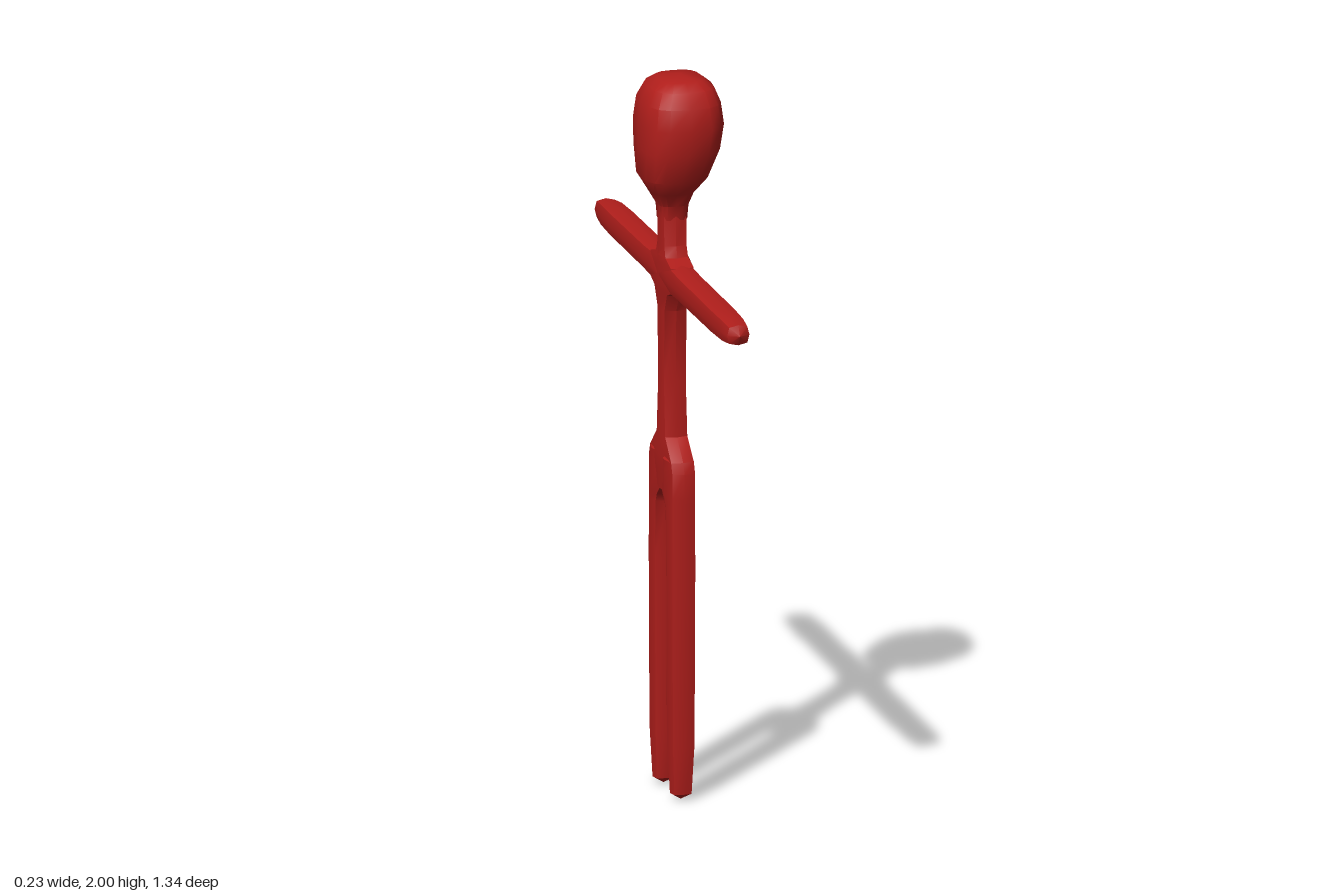
import * as THREE from 'three';
import { toCreasedNormals } from 'three/addons/utils/BufferGeometryUtils.js';

const BODY_X = -0.02; // the body sits slightly behind the head's centre

// Rounded-square ring point: sides of the ring bulge, corners sit at 45 degrees
const soften = (v) => (Math.abs(v) < 1e-6 ? 0 : Math.sign(v) * Math.pow(Math.abs(v), 0.68));

// Loft up the y axis. Sections: [y, centreX, centreZ, halfX, halfZ]; zero halves close an end.
function loft(sections, sides) {
  const pos = [], index = [];
  for (const [y, cx, cz, hx, hz] of sections) {
    const m = Math.min(hx, hz);
    for (let j = 0; j < sides; j++) {
      const t = (j / sides) * Math.PI * 2;
      const u = soften(Math.cos(t)), v = soften(Math.sin(t));
      // keep the corner rounding even when a section is much wider than deep
      const px = u === 0 ? 0 : u * m + Math.sign(u) * (hx - m) * (sides > 8 ? Math.abs(u) : 1);
      const pz = v === 0 ? 0 : v * m + Math.sign(v) * (hz - m) * (sides > 8 ? Math.abs(v) : 1);
      pos.push(cx + px, y, cz + pz);
    }
  }
  for (let i = 0; i < sections.length - 1; i++) {
    for (let j = 0; j < sides; j++) {
      const k = (j + 1) % sides;
      const a = i * sides + j, b = i * sides + k, c = a + sides, d = b + sides;
      if (sections[i][3] > 0) index.push(a, c, b);
      if (sections[i + 1][3] > 0) index.push(b, c, d);
    }
  }
  const geo = new THREE.BufferGeometry();
  geo.setAttribute('position', new THREE.Float32BufferAttribute(pos, 3));
  geo.setIndex(index);
  return toCreasedNormals(geo, 0.6);
}

export function createModel() {
  const group = new THREE.Group();
  const material = new THREE.MeshStandardMaterial({ color: 0xb01e1b });
  const add = (name, geo) => {
    const mesh = new THREE.Mesh(geo, material);
    mesh.name = name;
    group.add(mesh);
  };

  // Head: egg shape, fuller at the back, narrowing into the neck
  add('head', loft([
    [1.58, BODY_X, 0, 0, 0],
    [1.60, BODY_X, 0, 0.039, 0.037],
    [1.64, BODY_X, 0, 0.042, 0.042],
    [1.68, -0.025, 0, 0.06, 0.072],
    [1.72, -0.02, 0, 0.09, 0.1],
    [1.80, -0.007, 0, 0.108, 0.125],
    [1.87, -0.002, 0, 0.113, 0.134],
    [1.93, -0.002, 0, 0.105, 0.126],
    [1.97, 0, 0, 0.087, 0.102],
    [1.99, 0, 0, 0.06, 0.068],
    [2.0, 0, 0, 0, 0],
  ], 16));

  // Torso: hips, slim waist, shoulder flare and neck, as [y, halfX, halfZ]
  add('torso', loft([
    [0.845, 0, 0],
    [0.85, 0.036, 0.09],
    [0.91, 0.039, 0.122],
    [0.945, 0.04, 0.112],
    [1.0, 0.039, 0.05],
    [1.15, 0.038, 0.036],
    [1.35, 0.039, 0.043],
    [1.40, 0.04, 0.07],
    [1.415, 0.04, 0.11],
    [1.485, 0.04, 0.11],
    [1.5, 0.04, 0.055],
    [1.53, 0.039, 0.042],
    [1.63, 0.039, 0.038],
    [1.64, 0, 0],
  ].map(([y, hx, hz]) => [y, BODY_X, 0, hx, hz]), 8));

  for (const side of [1, -1]) {
    const label = side > 0 ? 'Front' : 'Back';

    // Leg: [y, inner z, outer z, halfX]
    add('leg' + label, loft([
      [0.004, 0.085, 0.085, 0],
      [0.022, 0.058, 0.114, 0.03],
      [0.16, 0.048, 0.124, 0.038],
      [0.64, 0.048, 0.125, 0.04],
      [0.80, 0.041, 0.125, 0.04],
      [0.822, 0.03, 0.125, 0.04],
      [0.845, 0.004, 0.125, 0.04],
      [0.915, 0.004, 0.124, 0.04],
      [0.945, 0.004, 0.112, 0.04],
      [0.99, 0.02, 0.02, 0],
    ].map(([y, z0, z1, hx]) => [y, BODY_X, side * (z0 + z1) / 2, hx, (z1 - z0) / 2]), 8));

    // Arm: lofted upright, then laid outward along z, as [reach, halfX, halfY]
    const arm = loft([
      [0, 0, 0],
      [0.01, 0.04, 0.042],
      [0.1, 0.04, 0.042],
      [0.17, 0.04, 0.039],
      [0.5, 0.04, 0.037],
      [0.6, 0.037, 0.035],
      [0.655, 0.031, 0.028],
      [0.672, 0, 0],
    ].map(([r, hx, hy]) => [r, 0, 0, hx, hy]), 8);
    arm.rotateX(side * Math.PI / 2).translate(BODY_X, 1.448, 0);
    add('arm' + label, arm);
  }
  return group;
}
